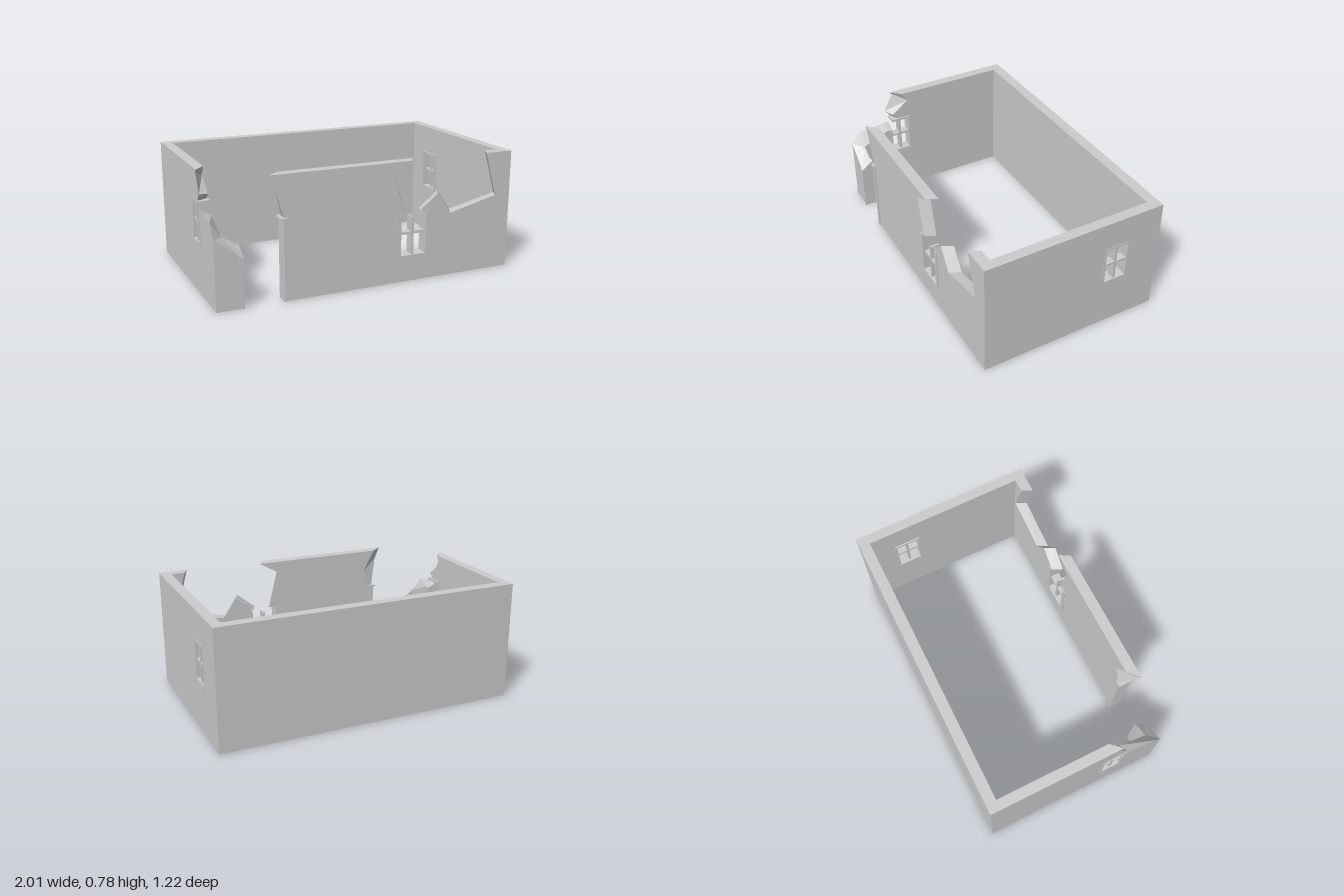
import * as THREE from 'three';

const H = 0.78;
const mat = new THREE.MeshStandardMaterial({ color: 0xcccccc, flatShading: true });

// Wall slab between an outer outline (at depth w1) and an inner outline (at w0),
// both counter-clockwise with the same point count, so broken edges can slant.
function slab(name, outer, inner, w1, w0) {
  const pos = [];
  const cap = (pts, w, flip) => {
    const v = pts.map(p => new THREE.Vector2(p[0], p[1]));
    for (const f of THREE.ShapeUtils.triangulateShape(v, [])) {
      for (const i of flip ? [f[0], f[2], f[1]] : f) pos.push(v[i].x, v[i].y, w);
    }
  };
  cap(outer, w1, false);
  cap(inner, w0, true);
  outer.forEach((p, i) => {
    const j = (i + 1) % outer.length;
    const a = [...p, w1], b = [...outer[j], w1], c = [...inner[j], w0], d = [...inner[i], w0];
    pos.push(...a, ...d, ...c, ...a, ...c, ...b);
  });
  const g = new THREE.BufferGeometry();
  g.setAttribute('position', new THREE.Float32BufferAttribute(pos, 3));
  g.computeVertexNormals();
  const m = new THREE.Mesh(g, mat);
  m.name = name;
  return m;
}

// Box given by its limits
function box(name, x0, x1, y0, y1, z0, z1) {
  const g = new THREE.BoxGeometry(x1 - x0, y1 - y0, z1 - z0);
  g.translate((x0 + x1) / 2, (y0 + y1) / 2, (z0 + z1) / 2);
  const m = new THREE.Mesh(g, mat);
  m.name = name;
  return m;
}

// Window bars: each row is [u0, u1, v0, v1]
function windowBars(name, bars, w0, w1) {
  const g = new THREE.Group();
  g.name = name;
  bars.forEach(b => g.add(box('windowBar', ...b, w0, w1)));
  return g;
}

export function createModel() {
  const model = new THREE.Group();
  model.name = 'ruinedHouse';

  // Intact back wall
  model.add(box('backWall', -1, 1, 0, H, -0.61, -0.54));

  // Front wall with broken doorway edge, and breach running into the window
  const frontOuter = [
    [-0.575, 0], [1, 0], [1, H], [0.81, H], [0.89, 0.495], [0.555, 0.415], [0.46, 0.555],
    [0.335, 0.455], [0.375, 0.455], [0.375, 0.175], [0.2, 0.175], [0.2, 0.455], [0.215, 0.455],
    [0.15, 0.71], [0.27, H], [-0.665, H], [-0.63, 0.7], [-0.565, 0.5]];
  const frontInner = [
    [-0.575, 0], [1, 0], [1, H], [0.845, H], [0.925, 0.495], [0.587, 0.42], [0.495, 0.555],
    [0.365, 0.455], [0.375, 0.455], [0.375, 0.175], [0.2, 0.175], [0.2, 0.455], [0.25, 0.455],
    [0.185, 0.71], [0.31, H], [-0.585, H], [-0.5, 0.63], [-0.565, 0.5]];
  model.add(slab('frontWall', frontOuter, frontInner, 0.595, 0.525));

  // Front window: trim around the opening and a broken cross inside it
  model.add(windowBars('frontWindowTrim', [
    [0.17, 0.2, 0.15, 0.455], [0.375, 0.4, 0.15, 0.455], [0.2, 0.375, 0.15, 0.175]], 0.518, 0.602));
  model.add(windowBars('frontWindowCross', [
    [0.28, 0.295, 0.175, 0.42], [0.2, 0.28, 0.31, 0.325], [0.295, 0.375, 0.31, 0.325]], 0.53, 0.59));

  // Doorway trim
  model.add(box('rightDoorJamb', -0.58, -0.557, 0, 0.505, 0.517, 0.604));
  model.add(box('doorHeadStump', -0.595, -0.55, 0.505, 0.518, 0.513, 0.61));
  model.add(slab('leftDoorJamb',
    [[-0.85, 0], [-0.828, 0], [-0.828, 0.31], [-0.85, 0.325]],
    [[-0.85, 0], [-0.828, 0], [-0.828, 0.37], [-0.85, 0.38]], 0.6, 0.518));

  // Broken stub of the front wall at the far corner
  model.add(slab('frontWallStub',
    [[-0.935, 0], [-0.835, 0], [-0.835, 0.312], [-0.935, 0.39]],
    [[-0.935, 0], [-0.835, 0], [-0.835, 0.37], [-0.935, 0.43]], 0.595, 0.525));

  // Side wall with a collapsed front section (u = z, w = -x)
  const ruinedSide = new THREE.Group();
  ruinedSide.name = 'ruinedSideWall';
  ruinedSide.rotation.y = -Math.PI / 2;
  const sideOuter = [
    [-0.54, 0], [0.595, 0], [0.595, 0.44], [0.53, 0.52], [0.34, 0.545], [0.305, 0.54],
    [0.305, 0.335], [0.175, 0.335], [0.175, 0.58], [0.28, 0.59], [0.325, 0.64], [0.26, 0.765],
    [0.28, H], [-0.54, H]];
  const sideInner = [
    [-0.54, 0], [0.595, 0], [0.595, 0.39], [0.53, 0.43], [0.34, 0.51], [0.305, 0.51],
    [0.305, 0.335], [0.175, 0.335], [0.175, 0.58], [0.25, 0.59], [0.29, 0.63], [0.17, 0.72],
    [0.21, H], [-0.54, H]];
  ruinedSide.add(slab('sideWall', sideOuter, sideInner, 1, 0.935));
  ruinedSide.add(windowBars('sideWindowTrim', [
    [0.16, 0.175, 0.315, 0.592], [0.305, 0.32, 0.315, 0.51], [0.175, 0.305, 0.315, 0.335],
    [0.175, 0.3, 0.577, 0.592]], 0.925, 1.003));
  ruinedSide.add(windowBars('sideWindowCross', [
    [0.232, 0.247, 0.335, 0.577], [0.175, 0.232, 0.45, 0.465], [0.247, 0.305, 0.45, 0.465]], 0.94, 0.995));
  model.add(ruinedSide);

  // Intact side wall with a four-pane window (u = -z, w = x)
  const intactSide = new THREE.Group();
  intactSide.name = 'intactSideWall';
  intactSide.rotation.y = Math.PI / 2;
  const rect = (C, a, b, c, d) => new C([[a, c], [b, c], [b, d], [a, d]].map(p => new THREE.Vector2(...p)));
  const wallShape = rect(THREE.Shape, -0.525, 0.54, 0, H);
  wallShape.holes.push(rect(THREE.Path, 0.225, 0.375, 0.335, 0.58));
  const wallGeo = new THREE.ExtrudeGeometry(wallShape, { depth: 0.067, bevelEnabled: false });
  wallGeo.translate(0, 0, 0.933);
  const wall = new THREE.Mesh(wallGeo, mat);
  wall.name = 'sideWall';
  intactSide.add(wall);
  intactSide.add(windowBars('sideWindowTrim', [
    [0.21, 0.225, 0.312, 0.593], [0.375, 0.388, 0.312, 0.593],
    [0.225, 0.375, 0.312, 0.335], [0.225, 0.375, 0.58, 0.593]], 0.923, 1.003));
  intactSide.add(windowBars('sideWindowCross', [
    [0.293, 0.308, 0.335, 0.58], [0.225, 0.293, 0.45, 0.465], [0.308, 0.375, 0.45, 0.465]], 0.94, 0.995));
  model.add(intactSide);

  return model;
}
